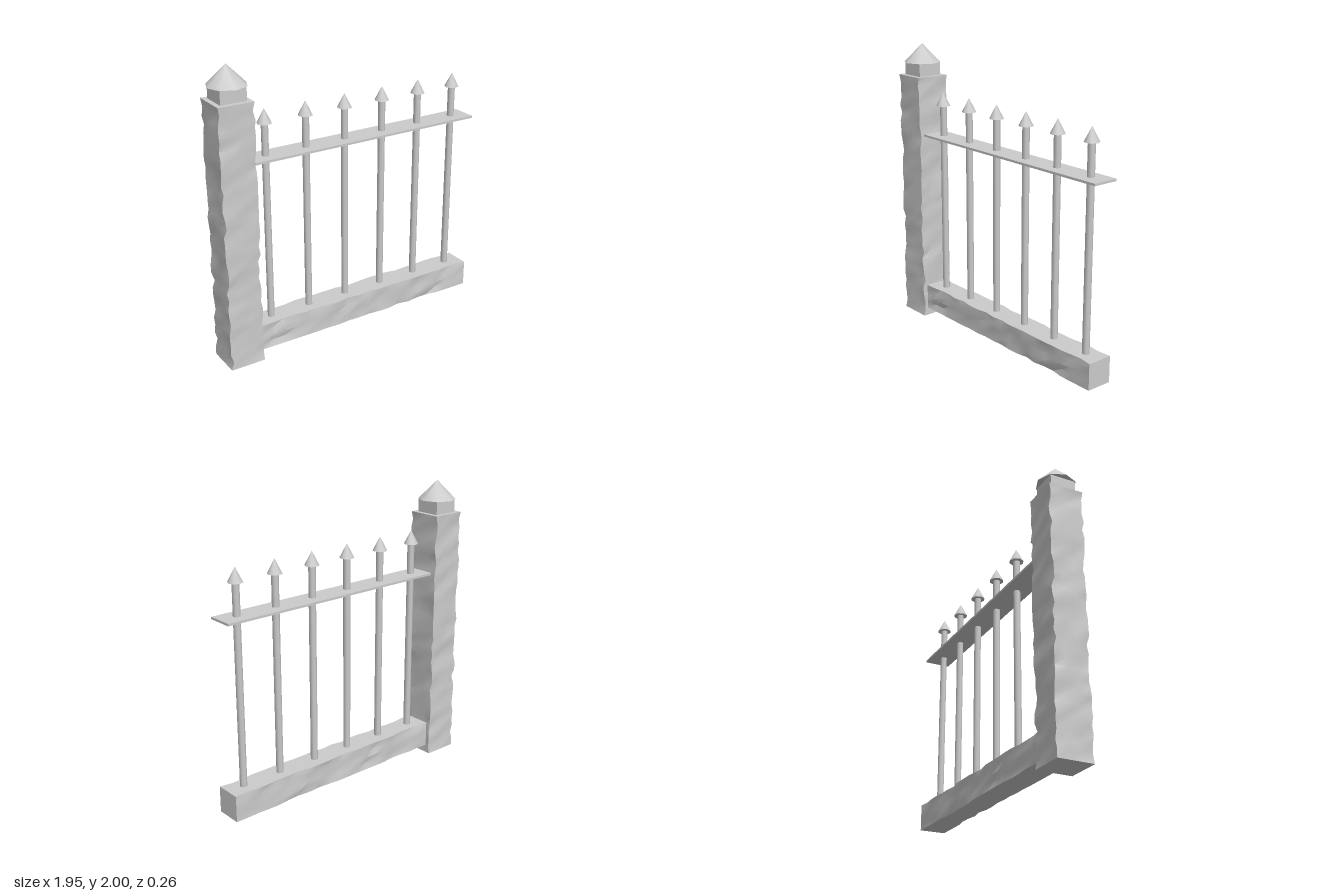
import * as THREE from 'three';
import { toCreasedNormals } from 'three/addons/utils/BufferGeometryUtils.js';

const material = new THREE.MeshStandardMaterial({ color: 0xcccccc });

// Repeatable noise in 0..1 from a position
function noise(x, y, z, seed) {
  const s = Math.sin(x * 127.1 + y * 311.7 + z * 74.7 + seed * 19.3) * 43758.5453;
  return s - Math.floor(s);
}

// Box whose sides are dented inward, as rough-hewn stone; its ends stay flat
function roughStone(w, h, d, segments, axis, depth, seed) {
  const geo = new THREE.BoxGeometry(w, h, d, ...segments);
  const pos = geo.attributes.position;
  const half = { x: w / 2, y: h / 2, z: d / 2 };
  const p = new THREE.Vector3();
  for (let i = 0; i < pos.count; i++) {
    p.fromBufferAttribute(pos, i);
    if (Math.abs(p[axis]) > half[axis] - 1e-4) continue;
    const [x, y, z] = p.toArray().map((v) => Math.round(v * 1000) / 1000 + 0);
    const dent = (side) => {
      const n = noise(x, y, z, seed + side);
      return n > 0.45 ? depth * (n - 0.45) / 0.55 : 0;
    };
    if (axis !== 'x' && Math.abs(x) > half.x - 1e-4) p.x -= Math.sign(x) * dent(1);
    if (Math.abs(z) > half.z - 1e-4) p.z -= Math.sign(z) * dent(2);
    pos.setXYZ(i, p.x, p.y, p.z);
  }
  return toCreasedNormals(geo, 0.6);
}

function add(parent, name, geometry, x, y, z = 0) {
  const mesh = new THREE.Mesh(geometry, material);
  mesh.name = name;
  mesh.position.set(x, y, z);
  parent.add(mesh);
  return mesh;
}

// Eight-sided cone with smooth flanks and a closed underside
const cone = (radius, height) => new THREE.ConeGeometry(radius, height, 8);

export function createModel() {
  const fence = new THREE.Group();
  fence.name = 'fenceSection';

  // Stone pillar with neck and pointed cap
  const pillar = new THREE.Group();
  pillar.name = 'pillar';
  pillar.position.x = -0.845;
  fence.add(pillar);
  add(pillar, 'pillarShaft', roughStone(0.24, 1.78, 0.24, [3, 32, 3], 'y', 0.017, 3), 0, 0.89);
  add(pillar, 'pillarNeck', roughStone(0.175, 0.1, 0.175, [2, 3, 2], 'y', 0.012, 8), 0, 1.825);
  add(pillar, 'pillarCap', cone(0.13, 0.13), 0, 1.935);

  // Low stone plinth and flat upper rail
  add(fence, 'plinth', roughStone(1.69, 0.18, 0.18, [20, 4, 2], 'x', 0.017, 5), 0.125, 0.15);
  add(fence, 'rail', new THREE.BoxGeometry(1.69, 0.015, 0.18), 0.125, 1.372);

  // Spear-tipped bars
  const barGeometry = new THREE.CylinderGeometry(0.024, 0.024, 1.39, 8);
  const tipGeometry = cone(0.049, 0.095);
  for (let i = 0; i < 6; i++) {
    const bar = new THREE.Group();
    bar.name = `bar${i + 1}`;
    bar.position.x = -0.605 + i * 0.2905;
    fence.add(bar);
    add(bar, 'barShaft', barGeometry, 0, 0.905);
    add(bar, 'barTip', tipGeometry, 0, 1.638);
  }
  return fence;
}
